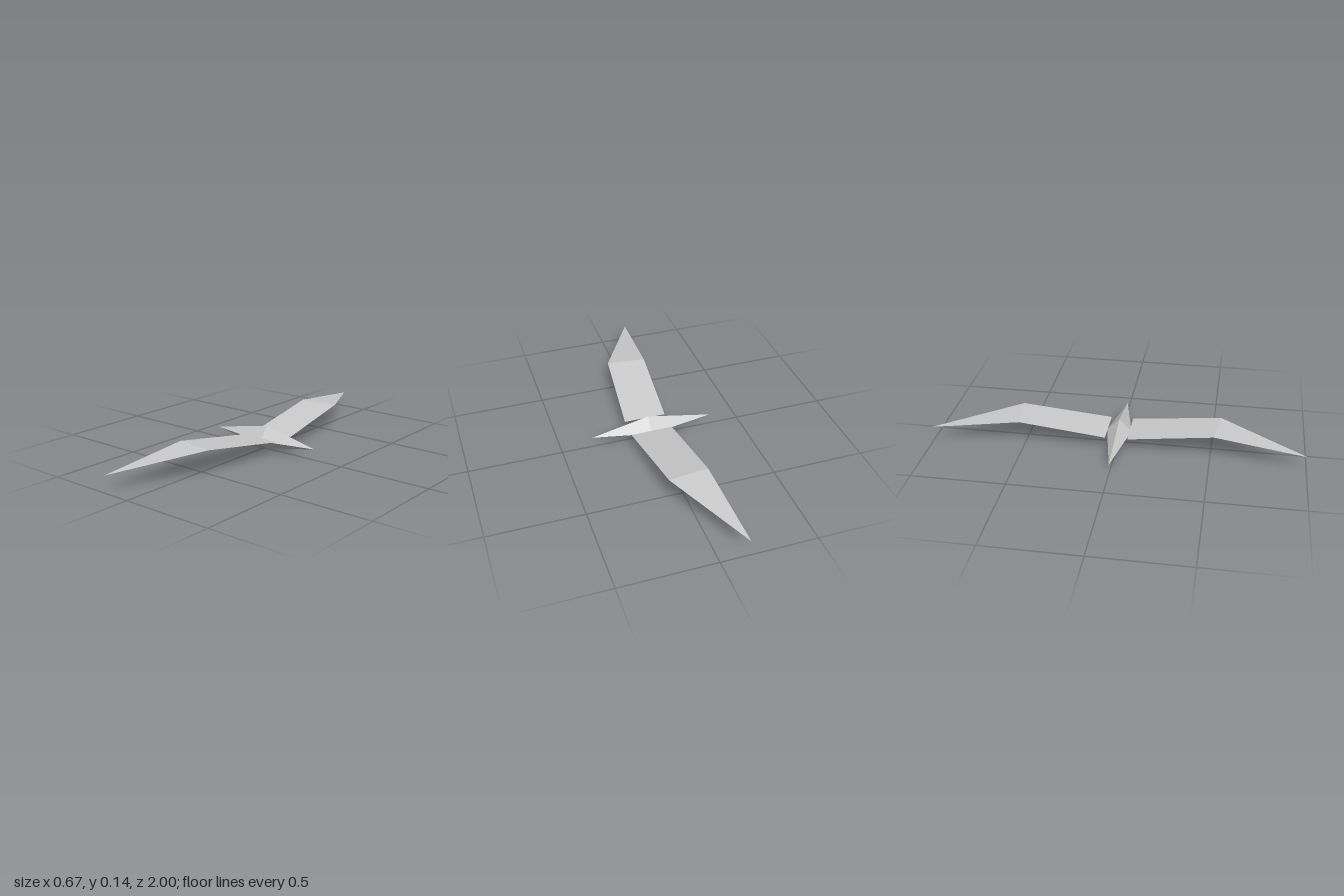
import * as THREE from 'three';

const plumage = new THREE.MeshStandardMaterial({ color: 0xcccccc, flatShading: true, side: THREE.DoubleSide });
plumage.name = 'pale grey';

// Long diamond body, its waist set slightly off centre
function createBody() {
  const geometry = new THREE.OctahedronGeometry(1, 0);
  const p = geometry.attributes.position;
  for (let i = 0; i < p.count; i++) {
    const x = p.getX(i);
    p.setXYZ(i, Math.abs(x) > 0.5 ? x * 0.333 : 0.02, 0.0635 + p.getY(i) * 0.0635, p.getZ(i) * 0.067);
    if (Math.abs(p.getY(i) - 0.0635) < 0.001) p.setY(i, 0.058);
  }
  geometry.computeVertexNormals();
  const body = new THREE.Mesh(geometry, plumage);
  body.name = 'body';
  return body;
}

// Thin wing: an inner panel rising to the bend, then a pointed outer panel
function createWing(side) {
  const corners = [
    [0.133, 0.073, 0.06], [-0.094, 0.073, 0.06],
    [-0.122, 0.143, 0.518], [0.09, 0.143, 0.543],
    [-0.15, 0.087, 1],
  ];
  const faces = [[0, 1, 2], [0, 2, 3], [3, 2, 4]];
  const points = [];
  for (const face of faces) {
    const order = side > 0 ? face : [...face].reverse();
    for (const i of order) {
      const [x, y, z] = corners[i];
      points.push(new THREE.Vector3(x, y, z * side));
    }
  }
  const geometry = new THREE.BufferGeometry().setFromPoints(points);
  geometry.computeVertexNormals();
  const wing = new THREE.Mesh(geometry, plumage);
  wing.name = side > 0 ? 'frontWing' : 'backWing';
  return wing;
}

export function createModel() {
  const bird = new THREE.Group();
  bird.name = 'bird';
  bird.add(createBody(), createWing(1), createWing(-1));
  return bird;
}
